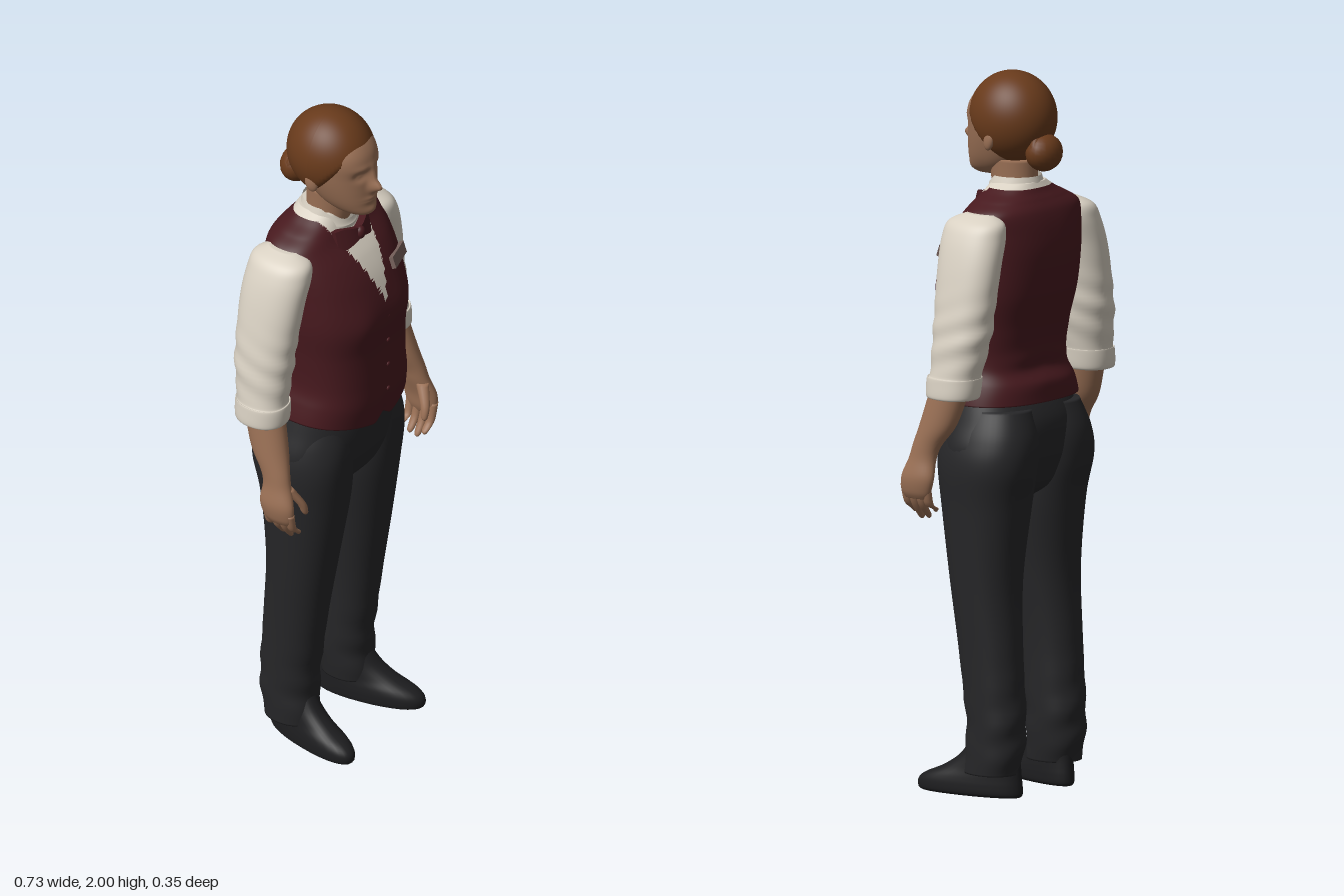
import * as THREE from 'three';

const paint = (name, color) => Object.assign(new THREE.MeshStandardMaterial({ color }), { name });
const skin = paint('skin', 0x9a7055);
const hairBrown = paint('hair brown', 0x683a1b);
const vestRed = paint('burgundy', 0x47191e);
const shirtWhite = paint('shirt white', 0xd8d0c2);
const trouserBlack = paint('trouser charcoal', 0x262628);
const shoeBlack = paint('shoe black', 0x1d1d1f);
const welt = paint('pocket taupe', 0x75605a);
shirtWhite.side = THREE.DoubleSide;

const bump = (a, ra, b, rb) => Math.exp(-((a / ra) ** 2) - (b / rb) ** 2);

// Smooth interpolation between cross-section rows
function sample(rows, t) {
  const f = t * (rows.length - 1), i = Math.min(Math.floor(f), rows.length - 2), u = f - i;
  const at = k => rows[Math.max(0, Math.min(rows.length - 1, k))];
  const [p, q, r, s] = [at(i - 1), at(i), at(i + 1), at(i + 2)];
  return q.map((_, c) => 0.5 * (2 * q[c] + (r[c] - p[c]) * u
    + (2 * p[c] - 5 * q[c] + 4 * r[c] - s[c]) * u * u
    + (3 * q[c] - p[c] - 3 * r[c] + s[c]) * u ** 3));
}

// Closed loft from bottom to top; each row is [y, centreX, halfWidth, zFront, zBack]
function loft(name, material, rows, { seg = 32, steps = 32, e = 2, side = 1, warp, pick, cap = true } = {}) {
  const pos = [], v = new THREE.Vector3();
  const bend = c => Math.sign(c) * Math.abs(c) ** (2 / e);
  const put = (x, y, z) => {
    v.set(x, y, z);
    if (warp) warp(v);
    pos.push(v.x, v.y, v.z);
  };
  for (let j = 0; j <= steps; j++) {
    const [y, cx, rx, zf, zb] = sample(rows, j / steps);
    for (let i = 0; i < seg; i++) {
      const a = i / seg * Math.PI * 2;
      put(side * cx + rx * bend(Math.cos(a)), y, (zf + zb) / 2 + (zf - zb) / 2 * bend(Math.sin(a)));
    }
  }
  const lists = [[], []];
  const tri = (a, b, c) => {
    const mean = k => (pos[a * 3 + k] + pos[b * 3 + k] + pos[c * 3 + k]) / 3;
    lists[pick ? pick(mean(0), mean(1), mean(2)) : 0].push(a, b, c);
  };
  const low = pos.length / 3, high = low + 1, last = steps * seg;
  for (const r of [rows[0], rows[rows.length - 1]]) put(side * r[1], r[0], (r[3] + r[4]) / 2);
  for (let i = 0; i < seg; i++) {
    const n = (i + 1) % seg;
    for (let j = 0; j < steps; j++) {
      const o = j * seg, u = o + seg;
      tri(o + i, u + i, o + n);
      tri(u + i, u + n, o + n);
    }
    if (cap) {
      tri(low, i, n);
      tri(high, last + n, last + i);
    }
  }
  const g = new THREE.BufferGeometry();
  g.setAttribute('position', new THREE.Float32BufferAttribute(pos, 3));
  g.setIndex([...lists[0], ...lists[1]]);
  if (pick) {
    g.addGroup(0, lists[0].length, 0);
    g.addGroup(lists[0].length, lists[1].length, 1);
  }
  g.computeVertexNormals();
  const m = new THREE.Mesh(g, material);
  m.name = name;
  return m;
}

function ball(name, material, [x, y, z], [rx, ry, rz]) {
  const m = new THREE.Mesh(new THREE.SphereGeometry(1, 20, 14), material);
  m.name = name;
  m.position.set(x, y, z);
  m.scale.set(rx, ry, rz);
  return m;
}

function createHead() {
  const head = new THREE.Group();
  head.name = 'head';
  // Face with nose, brow, eye sockets, lips and chin raised from the surface
  head.add(loft('face', skin, [
    [1.708, 0, 0.022, 0.112, 0.03], [1.722, 0, 0.046, 0.126, -0.01], [1.75, 0, 0.066, 0.127, -0.05],
    [1.79, 0, 0.081, 0.126, -0.08], [1.84, 0, 0.092, 0.123, -0.1], [1.89, 0, 0.095, 0.122, -0.1],
    [1.925, 0, 0.085, 0.106, -0.09], [1.955, 0, 0.06, 0.075, -0.07], [1.97, 0, 0.03, 0.04, -0.04],
  ], {
    seg: 112, steps: 84, e: 2.15, warp: v => {
      if (v.z < 0.05) return;
      const x = Math.abs(v.x);
      v.z += 0.031 * bump(x, 0.014, v.y - 1.808, 0.018) + 0.015 * bump(x, 0.011, v.y - 1.84, 0.028)
        - 0.012 * bump(x - 0.036, 0.018, v.y - 1.848, 0.013) + 0.005 * bump(x - 0.036, 0.01, v.y - 1.847, 0.006)
        + 0.004 * bump(x - 0.03, 0.03, v.y - 1.873, 0.01) + 0.007 * bump(x, 0.026, v.y - 1.768, 0.011)
        - 0.003 * bump(x, 0.026, v.y - 1.767, 0.003) + 0.005 * bump(x, 0.022, v.y - 1.732, 0.014);
    },
  }));
  // Swept-back hair, tucked under the skin in front of the hairline
  const shell = new THREE.SphereGeometry(1, 72, 54), p = shell.attributes.position;
  for (let i = 0; i < p.count; i++) {
    const y = 1.872 + p.getY(i) * 0.128, z = -0.012 + p.getZ(i) * 0.127;
    const t = z + 0.05 - (y - 1.74) * 0.88;
    const k = t > 0 ? Math.max(0.7, 1 - t * 6) : 1;
    p.setXYZ(i, p.getX(i) * 0.114 * k, 1.872 + (y - 1.872) * k, -0.012 + (z + 0.012) * k);
  }
  shell.computeVertexNormals();
  const hair = new THREE.Mesh(shell, hairBrown);
  hair.name = 'hair';
  head.add(hair);
  // Bun with a wrapped strand
  head.add(ball('bun', hairBrown, [0, 1.785, -0.123], [0.058, 0.052, 0.047]));
  const wrap = new THREE.Mesh(new THREE.TorusGeometry(0.042, 0.014, 12, 32), hairBrown);
  wrap.name = 'bunWrap';
  wrap.position.set(0, 1.79, -0.125);
  wrap.rotation.x = 0.25;
  head.add(wrap);
  for (const s of [-1, 1]) {
    const ear = ball('ear', skin, [s * 0.099, 1.82, -0.008], [0.011, 0.03, 0.019]);
    ear.rotation.set(-0.2, s * -0.25, 0);
    head.add(ear);
  }
  head.add(loft('neck', skin, [
    [1.63, 0, 0.062, 0.035, -0.09], [1.69, 0, 0.058, 0.048, -0.085], [1.76, 0, 0.06, 0.06, -0.085],
  ], { steps: 12 }));
  return head;
}

function createTorso() {
  const torso = new THREE.Group();
  torso.name = 'torso';
  // Waistcoat with a pointed hem; the shirt shows in the V neck
  torso.add(loft('waistcoat', [vestRed, shirtWhite], [
    [1.05, 0, 0.213, 0.162, -0.148], [1.12, 0, 0.2, 0.172, -0.14], [1.2, 0, 0.186, 0.172, -0.118],
    [1.3, 0, 0.189, 0.172, -0.13], [1.4, 0, 0.2, 0.177, -0.155], [1.5, 0, 0.201, 0.148, -0.165],
    [1.57, 0, 0.201, 0.11, -0.16], [1.625, 0, 0.195, 0.064, -0.147], [1.655, 0, 0.15, 0.048, -0.128],
    [1.675, 0, 0.11, 0.04, -0.112], [1.7, 0, 0.07, 0.03, -0.098],
  ], {
    seg: 144, steps: 110, e: 2.5,
    warp: v => {
      const x = Math.abs(v.x), k = THREE.MathUtils.smoothstep(1.22 - v.y, 0, 0.17);
      const front = 0.25 * Math.max(0, x - 0.035) + 0.7 * Math.max(0, 0.035 - x);
      v.y += k * THREE.MathUtils.lerp(0.045, front, THREE.MathUtils.smoothstep(v.z, -0.04, 0.06));
      if (v.z > 0) v.z += 0.006 * bump(x - 0.09, 0.05, v.y - 1.4, 0.06);
      else v.z += 0.004 * Math.sin(v.y * 70 + x * 12) * bump(x, 0.15, v.y - 1.19, 0.05);
    },
    pick: (x, y, z) => y > 1.685 || (z > 0 && y > 1.435 && Math.abs(x - 0.006) < (y - 1.435) * 0.37) ? 1 : 0,
  }));
  // Buttons down the front
  for (let i = 0; i < 4; i++) torso.add(ball('button', vestRed, [0.008, 1.39 - i * 0.08, 0.175], [0.007, 0.007, 0.004]));
  // Breast pocket welt
  const pocket = new THREE.Mesh(new THREE.BoxGeometry(0.105, 0.034, 0.012), welt);
  pocket.name = 'breastPocket';
  pocket.position.set(0.117, 1.512, 0.128);
  pocket.rotation.set(-0.35, 0.36, 0);
  torso.add(pocket);
  // Standing collar, lower at the throat
  torso.add(loft('collar', shirtWhite, [
    [1.645, 0, 0.088, 0.058, -0.112], [1.68, 0, 0.079, 0.06, -0.104], [1.715, 0, 0.068, 0.055, -0.095],
  ], { seg: 64, steps: 12, cap: false, warp: v => {
    v.y -= Math.max(0, v.z) * 0.75 * THREE.MathUtils.smoothstep(v.y, 1.645, 1.715);
  } }));
  // Bow tie: pinched box with the wings swept back
  const bow = new THREE.BoxGeometry(0.15, 0.062, 0.024, 20, 4, 2), p = bow.attributes.position;
  for (let i = 0; i < p.count; i++) {
    const x = p.getX(i), a = Math.abs(x);
    p.setY(i, p.getY(i) * (0.42 + 0.58 * Math.min(1, a / 0.055)));
    p.setZ(i, p.getZ(i) - 5 * x * x);
  }
  bow.computeVertexNormals();
  const tie = new THREE.Mesh(bow, vestRed);
  tie.name = 'bowTie';
  tie.position.set(0, 1.636, 0.078);
  tie.rotation.x = -0.25;
  torso.add(tie, ball('bowTieKnot', vestRed, [0, 1.636, 0.086], [0.016, 0.02, 0.014]));
  return torso;
}

function createArm(side) {
  const arm = new THREE.Group();
  arm.name = side > 0 ? 'leftArm' : 'rightArm';
  // Sleeve with soft creases and a rolled cuff
  arm.add(loft('sleeve', shirtWhite, [
    [1.135, 0.288, 0.052, 0.022, -0.1], [1.14, 0.287, 0.066, 0.038, -0.114], [1.19, 0.282, 0.067, 0.038, -0.118],
    [1.2, 0.279, 0.062, 0.032, -0.116], [1.3, 0.262, 0.068, 0.036, -0.134], [1.4, 0.246, 0.067, 0.042, -0.14],
    [1.5, 0.225, 0.066, 0.05, -0.142], [1.57, 0.202, 0.066, 0.055, -0.138], [1.61, 0.19, 0.053, 0.045, -0.128],
    [1.632, 0.175, 0.025, 0, -0.09],
  ], { side, seg: 48, steps: 72, e: 2.2, warp: v => {
    const dx = v.x - side * 0.265, dz = v.z + 0.045;
    const k = 1 + 0.035 * Math.sin(v.y * 85 + Math.atan2(dz, dx * side) * 2) * bump(v.y - 1.3, 0.09, 0, 1);
    v.x = side * 0.265 + dx * k;
    v.z = -0.045 + dz * k;
  } }));
  // Forearm and palm
  arm.add(loft('forearm', skin, [
    [0.85, 0.335, 0.013, 0.092, 0.014], [0.87, 0.337, 0.021, 0.1, 0.002], [0.91, 0.337, 0.026, 0.1, -0.008],
    [0.96, 0.325, 0.028, 0.082, -0.005], [1, 0.318, 0.031, 0.072, -0.018], [1.06, 0.304, 0.041, 0.056, -0.058],
    [1.16, 0.288, 0.046, 0.03, -0.09],
  ], { side }));
  // Fingers curling toward the thigh, thumb forward
  [0.802, 0.786, 0.79, 0.81].forEach((tip, k) => {
    const z = 0.089 - k * 0.0245;
    const row = (y, x, r) => [y, x, r, z + r * 1.1, z - r * 1.1];
    arm.add(loft('finger', skin, [row(tip, 0.296, 0.003), row(tip + 0.01, 0.3, 0.009),
      row(0.835, 0.325, 0.0115), row(0.885, 0.338, 0.013)], { side, seg: 16, steps: 15 }));
  });
  arm.add(loft('thumb', skin, [
    [0.862, 0.279, 0.003, 0.104, 0.096], [0.872, 0.281, 0.009, 0.11, 0.09], [0.905, 0.292, 0.012, 0.108, 0.08],
    [0.955, 0.318, 0.016, 0.085, 0.045],
  ], { side, seg: 16, steps: 15 }));
  return arm;
}

function createLeg(side) {
  const leg = new THREE.Group();
  leg.name = side > 0 ? 'leftLeg' : 'rightLeg';
  leg.add(loft('trouserLeg', trouserBlack, [
    [0.065, 0.133, 0.066, 0.03, -0.125], [0.12, 0.13, 0.071, 0.028, -0.136], [0.2, 0.127, 0.074, 0.025, -0.143],
    [0.4, 0.127, 0.079, 0.05, -0.13], [0.6, 0.123, 0.094, 0.08, -0.12], [0.8, 0.116, 0.112, 0.11, -0.14],
    [0.92, 0.12, 0.117, 0.122, -0.166], [1, 0.112, 0.11, 0.12, -0.166], [1.08, 0.1, 0.09, 0.1, -0.14],
  ], { side, seg: 48, steps: 64, e: 2.2, warp: v => {
    v.z += 0.004 * Math.sin(v.y * 60 + v.x * 25) * bump(v.y - 0.18, 0.12, 0, 1);
  } }));
  // Shoe, toe turned outward
  leg.add(loft('shoe', shoeBlack, [
    [0, 0.133, 0.044, 0.17, -0.125], [0.008, 0.133, 0.053, 0.179, -0.13], [0.03, 0.133, 0.054, 0.178, -0.13],
    [0.05, 0.133, 0.052, 0.155, -0.128], [0.075, 0.133, 0.048, 0.1, -0.125], [0.11, 0.132, 0.046, 0.05, -0.12],
    [0.16, 0.13, 0.042, 0.012, -0.11],
  ], { side, e: 2.2, warp: v => { v.x += side * v.z * 0.19; } }));
  return leg;
}

export function createModel() {
  const figure = new THREE.Group();
  figure.name = 'standingFigure';
  figure.add(createHead(), createTorso());
  figure.add(loft('trouserSeat', trouserBlack, [
    [0.815, 0, 0.05, 0.03, -0.06], [0.85, 0, 0.15, 0.085, -0.11], [0.9, 0, 0.215, 0.112, -0.135],
    [0.97, 0, 0.23, 0.128, -0.152], [1.05, 0, 0.207, 0.132, -0.15], [1.14, 0, 0.178, 0.12, -0.11],
  ], { seg: 64, e: 2.3 }));
  for (const side of [-1, 1]) figure.add(createArm(side), createLeg(side));
  return figure;
}
